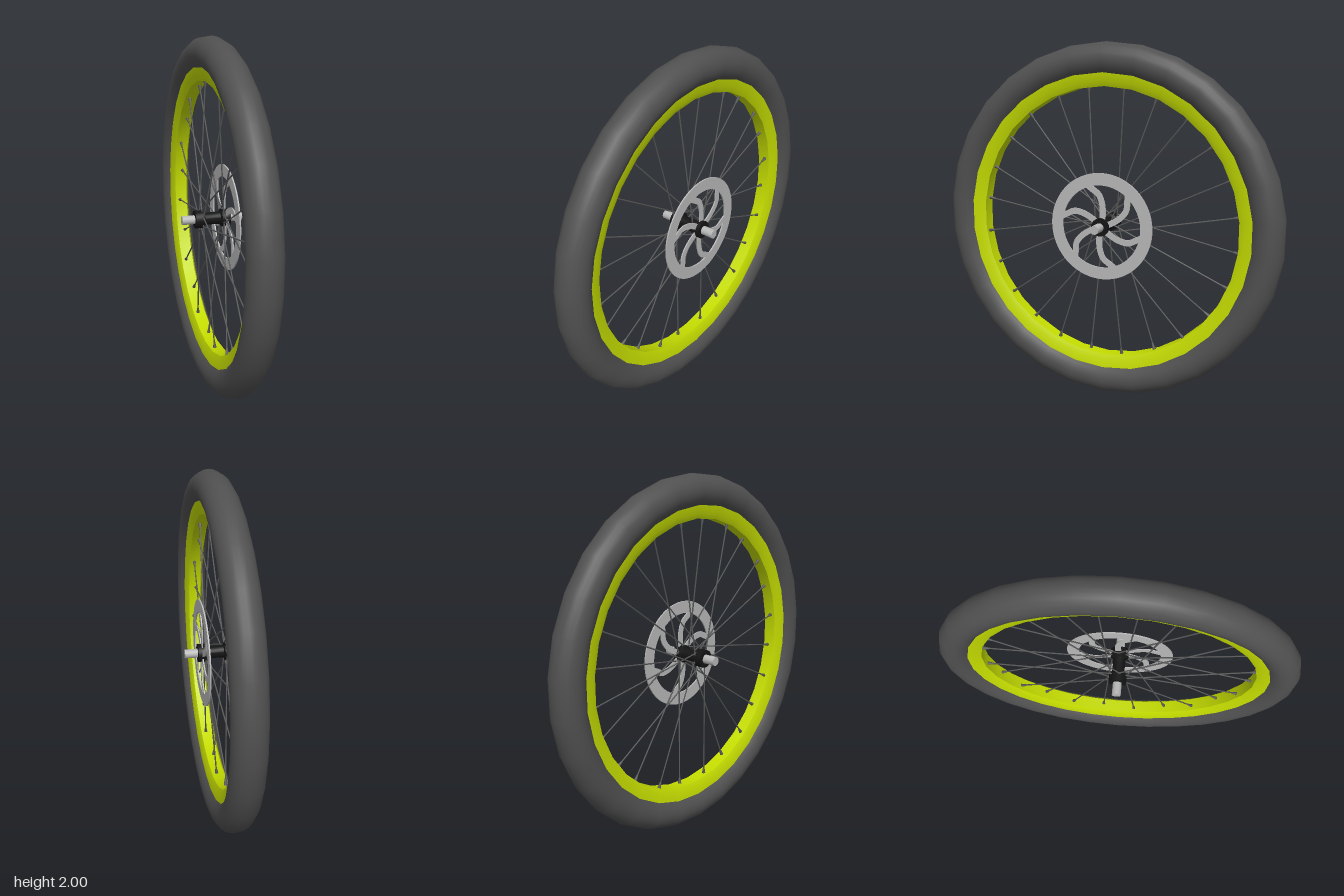
import * as THREE from 'three';
import { toCreasedNormals } from 'three/addons/utils/BufferGeometryUtils.js';

const SIDES = 30;
const mat = (color) => new THREE.MeshStandardMaterial({ color });
const rubber = mat(0x505050);
const lime = mat(0xc4dc00);
const black = mat(0x141414);
const steel = mat(0xb8b8b8);
const wire = mat(0x5a5a5a);

function add(parent, name, geometry, material) {
  const mesh = new THREE.Mesh(geometry, material);
  mesh.name = name;
  parent.add(mesh);
  return mesh;
}

// Revolves [radius, x] points around the x axis, with a corner at the very top
function revolve(points, sides, crease) {
  const profile = points.map(([r, x]) => new THREE.Vector2(r, x));
  const geo = new THREE.LatheGeometry(profile, sides, Math.PI / 2);
  geo.rotateZ(-Math.PI / 2);
  return crease ? toCreasedNormals(geo, crease) : geo;
}

// Tapered rod between two points
function rod(a, b, ra, rb, sides) {
  const dir = b.clone().sub(a);
  const geo = new THREE.CylinderGeometry(rb, ra, dir.length(), sides);
  const q = new THREE.Quaternion().setFromUnitVectors(new THREE.Vector3(0, 1, 0), dir.clone().normalize());
  geo.applyQuaternion(q);
  const mid = a.clone().add(b).multiplyScalar(0.5);
  return geo.translate(mid.x, mid.y, mid.z);
}

const polar = (r, angle) => new THREE.Vector2(r * Math.cos(angle), r * Math.sin(angle));

// Curved arm of the brake disc; its angle drifts with the radius
function armShape(turn) {
  const path = new THREE.SplineCurve([
    [0.035, 78], [0.08, 82], [0.13, 87], [0.18, 94], [0.215, 104], [0.245, 110],
  ].map(([r, deg]) => polar(r, THREE.MathUtils.degToRad(deg) + turn)));
  const left = [], right = [];
  for (let i = 0; i <= 14; i++) {
    const p = path.getPoint(i / 14), t = path.getTangent(i / 14);
    const n = new THREE.Vector2(-t.y, t.x).multiplyScalar(0.017);
    right.push(p.clone().sub(n));
    left.unshift(p.clone().add(n));
  }
  return new THREE.Shape([...right, ...left]);
}

export function createModel() {
  const model = new THREE.Group();
  model.name = 'wheel';
  const wheel = new THREE.Group();
  wheel.name = 'wheelAssembly';
  wheel.position.y = 1;
  model.add(wheel);

  // Tyre: round section, open towards the rim
  const tyre = [[0.835, -0.052]];
  for (let i = 0; i <= 16; i++) {
    const a = THREE.MathUtils.degToRad(-132 + (264 * i) / 16);
    tyre.push([0.91 + 0.09 * Math.cos(a), 0.09 * Math.sin(a)]);
  }
  tyre.push([0.835, 0.052]);
  add(wheel, 'tyre', revolve(tyre, SIDES), rubber);

  // Rim: side walls tapering to a flat spoke bed
  add(wheel, 'rim', revolve([
    [0.765, -0.036], [0.795, -0.05], [0.845, -0.056], [0.845, 0.056],
    [0.795, 0.05], [0.765, 0.036], [0.765, -0.036],
  ], SIDES, 0.45), lime);

  // Hub shell with a flange near each end, and the axle through it
  const half = [[0.034, 0], [0.036, 0.045], [0.05, 0.052], [0.05, 0.1], [0.024, 0.1]];
  const mirrored = half.slice(1).reverse().map(([r, x]) => [r, -x]);
  add(wheel, 'hub', revolve([...mirrored, ...half], 24, 0.5), black);
  const axle = new THREE.CylinderGeometry(0.025, 0.025, 0.345, 20);
  add(wheel, 'axle', axle.rotateZ(Math.PI / 2), steel);

  // Spokes alternate between flanges and lean either way
  const spokes = new THREE.Group();
  spokes.name = 'spokes';
  wheel.add(spokes);
  for (let k = 0; k < 24; k++) {
    const side = k % 2 ? 1 : -1;
    const lean = Math.floor(k / 2) % 2 ? 1 : -1;
    const angle = ((k + 0.5) / 24) * Math.PI * 2;
    const inner = polar(0.043, angle + lean * 1.1);
    const outer = polar(0.768, angle);
    const a = new THREE.Vector3(side * 0.06, inner.y, inner.x);
    const b = new THREE.Vector3(side * 0.008, outer.y, outer.x);
    add(spokes, 'spoke', rod(a, b, 0.004, 0.004, 6), wire);
    add(spokes, 'spokeNipple', rod(a.clone().lerp(b, 0.945), b, 0.005, 0.011, 8), wire);
  }

  // Brake disc on the +x side: ring plus six curved arms
  const disc = new THREE.Group();
  disc.name = 'brakeDisc';
  disc.rotation.y = Math.PI / 2;
  disc.position.x = 0.072;
  wheel.add(disc);
  const ring = new THREE.Shape().absarc(0, 0, 0.3, 0, Math.PI * 2);
  ring.holes.push(new THREE.Path().absarc(0, 0, 0.232, 0, Math.PI * 2, true));
  const plate = { depth: 0.008, bevelEnabled: false, curveSegments: 40 };
  add(disc, 'discRing', new THREE.ExtrudeGeometry(ring, plate), steel);
  for (let i = 0; i < 6; i++) {
    const arm = new THREE.ExtrudeGeometry(armShape((i * Math.PI) / 3), { ...plate, depth: 0.007 });
    add(disc, 'discArm', arm.translate(0, 0, 0.0005), steel);
  }
  return model;
}
